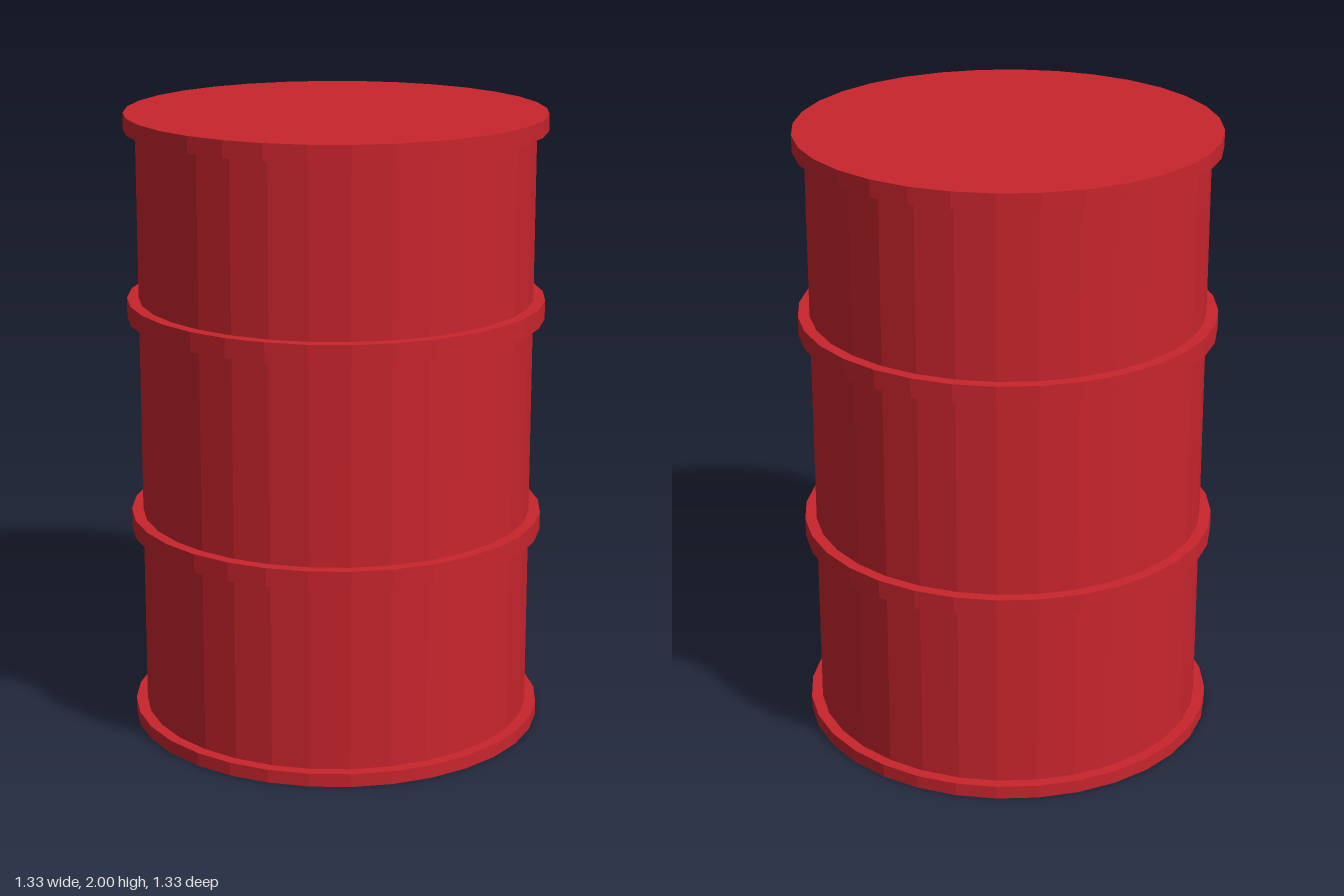
import * as THREE from 'three';

const SIDES = 32;
const BODY_RADIUS = 0.63;
const RIM_RADIUS = 0.667;

export function createModel() {
  const drum = new THREE.Group();
  drum.name = 'drum';
  const paint = new THREE.MeshStandardMaterial({ color: 0xc9252d, flatShading: true });

  const add = (name, geometry, y = 0) => {
    const mesh = new THREE.Mesh(geometry, paint);
    mesh.name = name;
    mesh.position.y = y;
    drum.add(mesh);
  };

  // Straight wall, closed by the two lids
  add('body', new THREE.CylinderGeometry(BODY_RADIUS, BODY_RADIUS, 1.92, SIDES, 1, true), 1);

  // Flat lids with overhanging rims
  const lid = (name, bottom, top) =>
    add(name, new THREE.CylinderGeometry(RIM_RADIUS, RIM_RADIUS, top - bottom, SIDES), (bottom + top) / 2);
  lid('bottomLid', 0, 0.043);
  lid('topLid', 1.947, 2);

  // Raised hoops around the wall
  const hoop = (name, bottom, top) => {
    const profile = [
      [BODY_RADIUS, bottom],
      [RIM_RADIUS, bottom],
      [RIM_RADIUS, top],
      [BODY_RADIUS, top],
    ].map(([r, y]) => new THREE.Vector2(r, y));
    add(name, new THREE.LatheGeometry(profile, SIDES));
  };
  hoop('lowerHoop', 0.645, 0.705);
  hoop('upperHoop', 1.347, 1.409);

  return drum;
}
